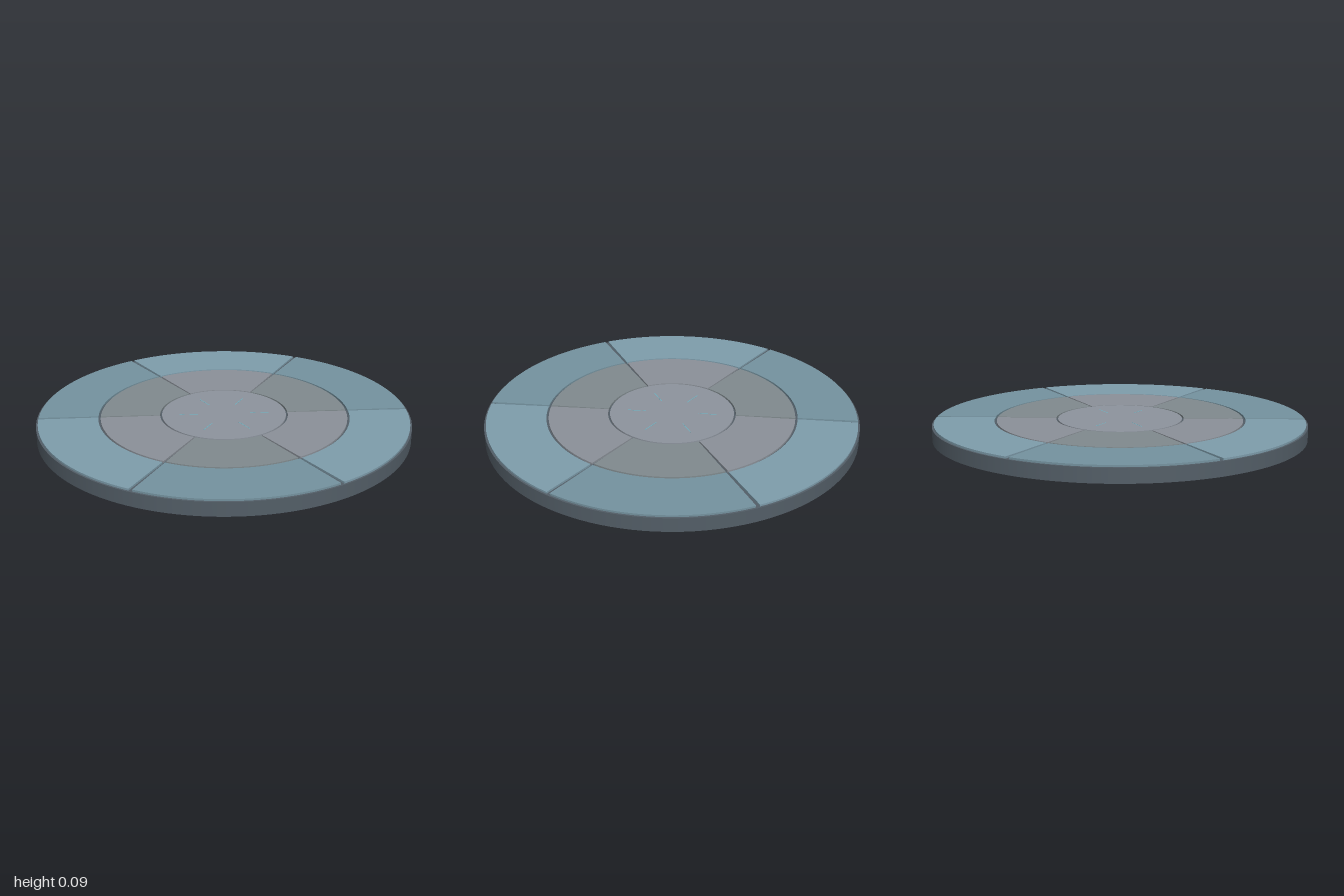
import * as THREE from 'three';

const SECTORS = 6;
const BASE_TOP = 0.075;
const TILE_HEIGHT = 0.01;
const GAP = 0.01; // half the angular gap between tiles

const material = (color) => new THREE.MeshStandardMaterial({ color });

function addMesh(parent, name, geometry, mat) {
  const mesh = new THREE.Mesh(geometry, mat);
  mesh.name = name;
  parent.add(mesh);
  return mesh;
}

// Ring sector lying flat, rising from y = 0
function sectorGeometry(inner, outer, start, end) {
  const shape = new THREE.Shape();
  shape.absarc(0, 0, outer, start, end, false);
  shape.absarc(0, 0, inner, end, start, true);
  shape.closePath();
  return new THREE.ExtrudeGeometry(shape, {
    depth: TILE_HEIGHT, bevelEnabled: false, curveSegments: 24,
  }).rotateX(-Math.PI / 2);
}

export function createModel() {
  const model = new THREE.Group();
  model.name = 'roundPlatform';

  // Dark base disc
  const base = new THREE.CylinderGeometry(1, 1, BASE_TOP, 128);
  addMesh(model, 'base', base, material(0x535e67)).position.y = BASE_TOP / 2;

  // Two rings of alternating tiles
  const rings = [
    { name: 'outerTile', inner: 0.672, outer: 0.99, colors: [0x7593a0, 0x7e9daC] },
    { name: 'middleTile', inner: 0.343, outer: 0.66, colors: [0x808a8e, 0x8b9199] },
  ];
  const step = (Math.PI * 2) / SECTORS;
  for (const ring of rings) {
    const mats = ring.colors.map(material);
    for (let i = 0; i < SECTORS; i++) {
      const geometry = sectorGeometry(ring.inner, ring.outer, i * step + GAP, (i + 1) * step - GAP);
      addMesh(model, ring.name, geometry, mats[i % 2]).position.y = BASE_TOP;
    }
  }

  // Centre disc
  const centre = new THREE.CylinderGeometry(0.333, 0.333, TILE_HEIGHT, 96);
  addMesh(model, 'centreDisc', centre, material(0x8d949e)).position.y = BASE_TOP + TILE_HEIGHT / 2;

  // Hairline radial inlays, almost flush with the centre disc
  const inlayMat = material(0x69b4c4);
  for (let i = 0; i < SECTORS; i++) {
    const inlay = new THREE.BoxGeometry(0.1, TILE_HEIGHT, 0.004);
    inlay.translate(0.19, BASE_TOP + TILE_HEIGHT / 2 + 0.0004, 0).rotateY(i * step);
    addMesh(model, 'centreInlay', inlay, inlayMat);
  }

  return model;
}
